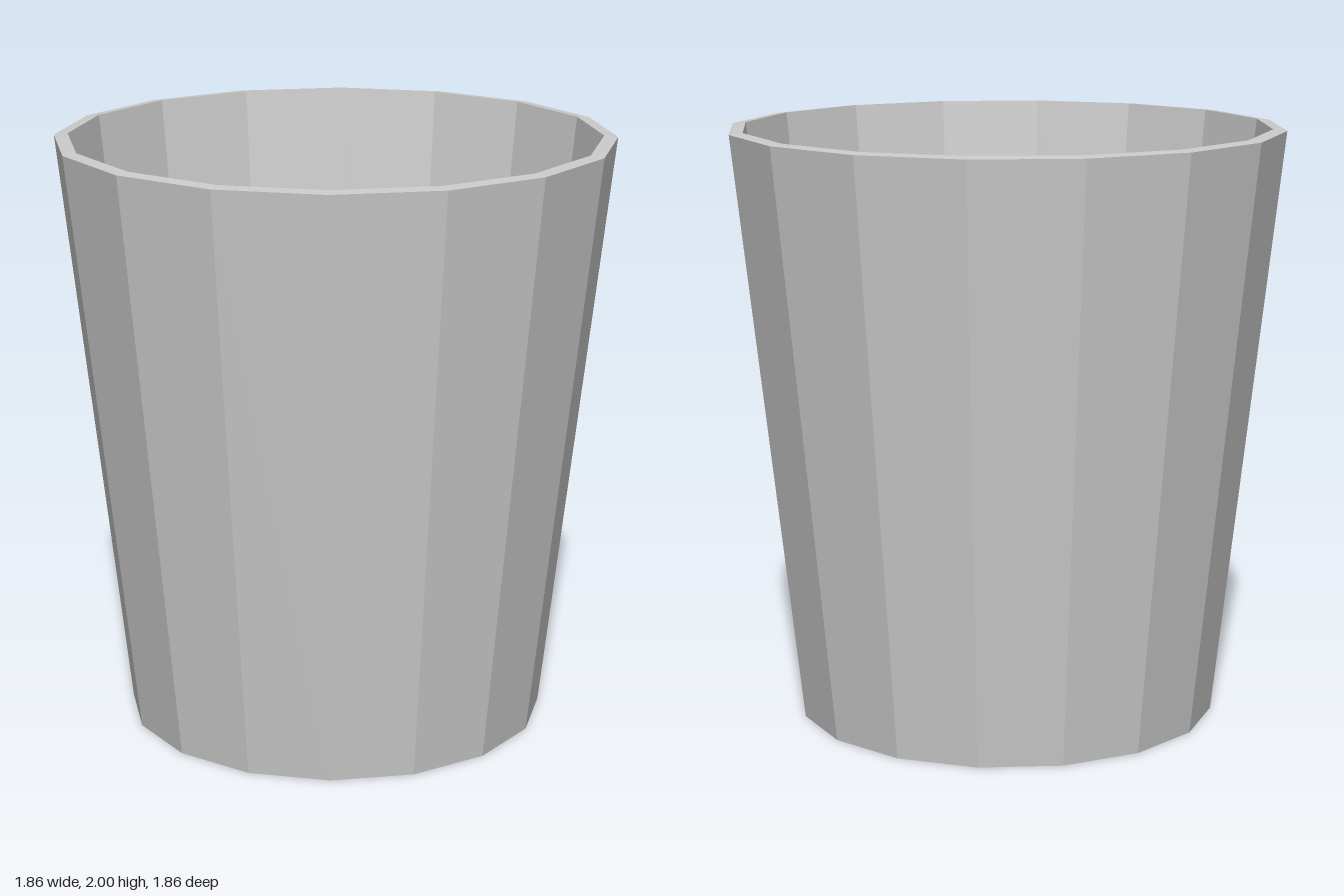
import * as THREE from 'three';

const SIDES = 16;

export function createModel() {
  const group = new THREE.Group();
  group.name = 'cup';

  const material = new THREE.MeshStandardMaterial({ color: 0xcccccc, flatShading: true });

  // Lathe a faceted ring or disc from [radius, height] pairs
  const addPart = (name, profile) => {
    const points = profile.map(([r, y]) => new THREE.Vector2(r, y));
    const mesh = new THREE.Mesh(new THREE.LatheGeometry(points, SIDES), material);
    mesh.name = name;
    group.add(mesh);
  };

  // Underside, tapered outer wall, thin rim, inner wall and inner floor
  addPart('base', [[0, 0], [0.71, 0]]);
  addPart('outerWall', [[0.71, 0], [0.932, 1.995]]);
  addPart('rim', [[0.932, 1.995], [0.886, 2]]);
  addPart('innerWall', [[0.886, 2], [0.674, 0.046]]);
  addPart('innerFloor', [[0.674, 0.046], [0, 0.046]]);

  return group;
}
